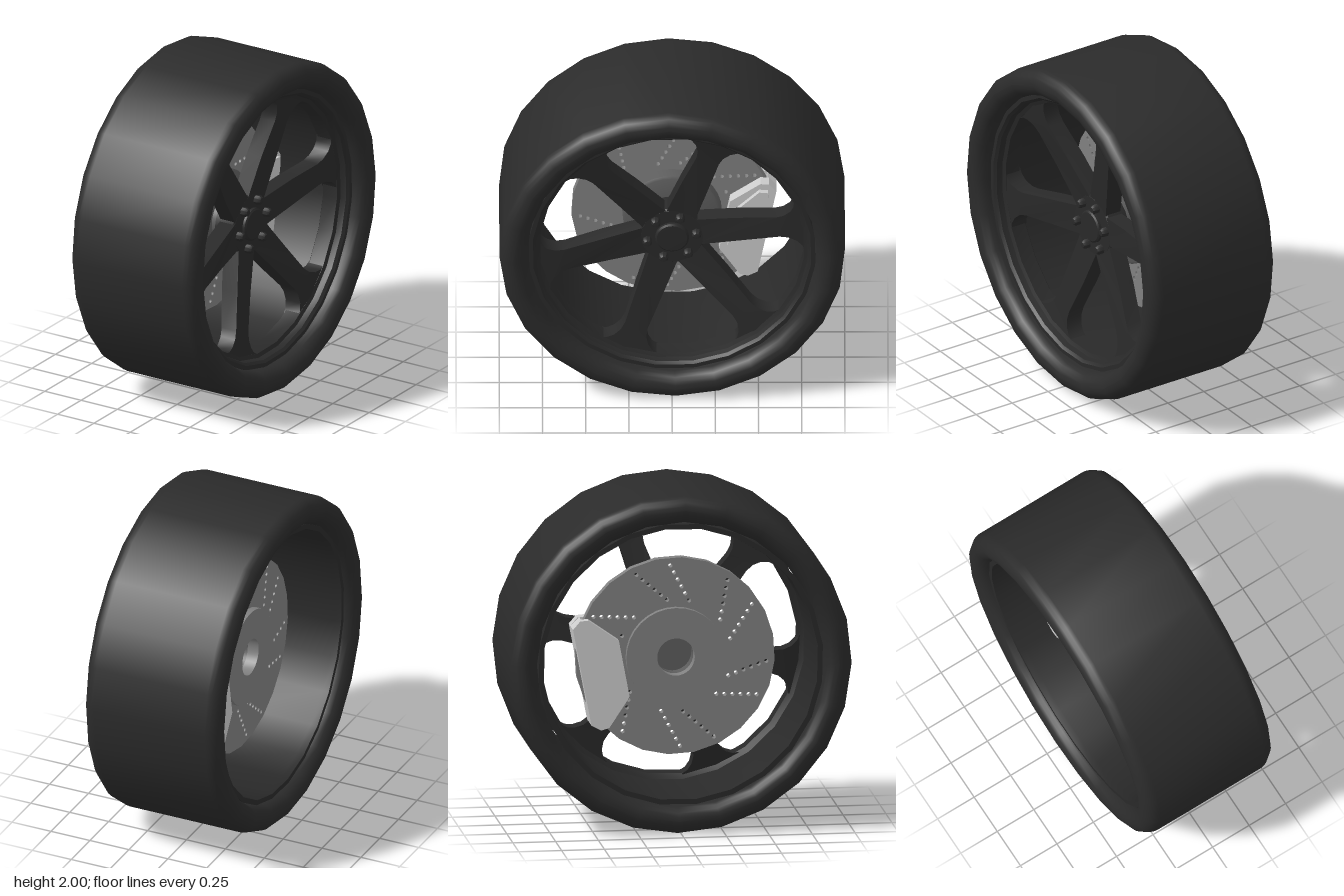
import * as THREE from 'three';
import { toCreasedNormals } from 'three/addons/utils/BufferGeometryUtils.js';

const DEG = Math.PI / 180;
const mat = (color) => new THREE.MeshStandardMaterial({ color });
const rubber = mat(0x2b2b2b);
const alloy = mat(0x292929);
const steel = mat(0x808080);
const darkSteel = mat(0x5c5c5c);
const grey = mat(0xcccccc);

const polar = (r, deg) => new THREE.Vector2(r * Math.cos(deg * DEG), r * Math.sin(deg * DEG));
const vecs = (pts) => pts.map(([x, y]) => new THREE.Vector2(x, y));

// The wheel is built with its axle on z, outer face towards +z, then turned to face +x.
function add(parent, name, geo, material, crease = 0.6) {
  const mesh = new THREE.Mesh(toCreasedNormals(geo, crease), material);
  mesh.name = name;
  parent.add(mesh);
  return mesh;
}

// Ring or disc from [radius, depth] points, listed counter-clockwise
function turned(profile, sides = 24) {
  return new THREE.LatheGeometry(vecs(profile), sides).rotateX(Math.PI / 2);
}

function slab(shape, z0, z1, curveSegments = 12) {
  return new THREE.ExtrudeGeometry(shape, { depth: z1 - z0, bevelEnabled: false, curveSegments }).translate(0, 0, z0);
}

// Tyre: rounded rectangular section
function tyreProfile() {
  const w = 0.435, rIn = 0.84, rOut = 1, c = 0.079, pts = [];
  const corners = [[rOut - c, -w + c, -90], [rOut - c, w - c, 0], [rIn + c, w - c, 90], [rIn + c, -w + c, 180]];
  for (const [r, z, start] of corners) {
    for (let i = 0; i <= 5; i++) {
      const a = (start + i * 18) * DEG;
      pts.push([r + c * Math.cos(a), z + c * Math.sin(a)]);
    }
  }
  pts.push(pts[0]);
  return pts;
}

// Spoke: slightly tapered bar flaring into the rim, leaning outwards with radius
function spokeGeometry() {
  const side = [[0.1, 0.09], [0.4, 0.08], [0.62, 0.069], [0.67, 0.078], [0.715, 0.105], [0.742, 0.14], [0.75, 0.175], [0.785, 0.175]];
  const outline = [...side.map(([r, h]) => [r, -h]), ...side.reverse()];
  const geo = slab(new THREE.Shape(vecs(outline)), 0.08, 0.18);
  const p = geo.attributes.position;
  for (let i = 0; i < p.count; i++) {
    const lean = Math.max(0, p.getX(i) - 0.18) * 0.18;
    p.setZ(i, p.getZ(i) + lean);
  }
  geo.computeVertexNormals();
  return geo;
}

// Brake disc with slanted rows of drilled holes
function discGeometry() {
  const shape = new THREE.Shape();
  for (let i = 0; i < 24; i++) {
    const v = polar(0.583, i * 15 + 4);
    if (i) shape.lineTo(v.x, v.y); else shape.moveTo(v.x, v.y);
  }
  shape.closePath();
  const bore = new THREE.Path();
  bore.absarc(0, 0, 0.27, 0, Math.PI * 2, true);
  shape.holes.push(bore);
  for (let k = 0; k < 6; k++) {
    for (const shift of [0, -22]) {
      const inner = polar(0.335, 104 + shift + k * 60), outer = polar(0.535, 87 + shift + k * 60);
      for (let i = 0; i < 6; i++) {
        const c = inner.clone().lerp(outer, i / 5), hole = new THREE.Path();
        hole.absarc(c.x, c.y, 0.0125, 0, Math.PI * 2, true);
        shape.holes.push(hole);
      }
    }
  }
  return slab(shape, -0.13, -0.075, 8);
}

// Caliper outline at a given inset from its edge
function caliperShape(inset) {
  const half = [[0.31 + inset, 0.17 - inset], [0.46, 0.325 - inset], [0.51, 0.33 - inset], [0.56 - inset, 0.29 - inset]];
  return new THREE.Shape(vecs([...half.map(([r, t]) => [r, -t]), ...half.reverse()]));
}

export function createModel() {
  const model = new THREE.Group();
  const wheel = new THREE.Group();
  wheel.name = 'wheel';
  wheel.rotation.y = Math.PI / 2;
  wheel.position.y = 1;
  model.add(wheel);

  add(wheel, 'tyre', turned(tyreProfile()), rubber, 0.9).rotation.z = 1.2 * DEG;

  // Rim barrel with stepped lips at both ends
  const rim = add(wheel, 'rim', turned([
    [0.815, -0.33], [0.835, -0.35], [0.835, -0.37], [0.805, -0.37], [0.80, -0.33],
    [0.80, 0.17], [0.768, 0.19], [0.768, 0.285], [0.79, 0.295], [0.795, 0.33],
    [0.81, 0.345], [0.835, 0.345], [0.835, 0.32], [0.815, 0.30], [0.815, -0.33],
  ].reverse()), alloy);
  rim.rotation.z = 8.7 * DEG;

  // Spokes and lug nuts
  const star = new THREE.Group();
  star.name = 'spokeStar';
  star.rotation.z = 10.6 * DEG;
  wheel.add(star);
  const spoke = spokeGeometry();
  const nut = turned([[0, 0.18], [0.028, 0.18], [0.028, 0.215], [0.018, 0.23], [0, 0.232]], 8);
  for (let k = 0; k < 6; k++) {
    add(star, 'spoke', spoke, alloy).rotation.z = k * 60 * DEG;
    const c = polar(0.145, k * 60);
    add(star, 'lugNut', nut, alloy).position.set(c.x, c.y, 0);
  }
  add(star, 'hub', turned([[0, 0.06], [0.19, 0.06], [0.19, 0.18], [0.18, 0.19], [0, 0.19]]), alloy);
  add(star, 'centreCap', turned([[0, 0.18], [0.098, 0.18], [0.098, 0.205], [0.088, 0.213], [0, 0.216]]), alloy);

  // Brake assembly
  add(wheel, 'brakeDisc', discGeometry(), steel);
  add(wheel, 'discHat', turned([[0.11, -0.17], [0.29, -0.17], [0.29, -0.1], [0.28, -0.1], [0.11, -0.1], [0.11, -0.17]], 32), steel);
  add(wheel, 'discBell', turned([[0.11, -0.1], [0.29, -0.1], [0.285, -0.01], [0.27, 0], [0.11, 0], [0.11, -0.1]], 32), darkSteel);
  add(wheel, 'axleSleeve', turned([[0, -0.02], [0.13, -0.02], [0.13, 0.08], [0, 0.08]]), darkSteel);

  const caliper = new THREE.Group();
  caliper.name = 'caliper';
  caliper.rotation.z = -10.7 * DEG;
  wheel.add(caliper);
  add(caliper, 'outerHalf', slab(caliperShape(0), -0.07, 0), grey);
  add(caliper, 'outerFace', slab(caliperShape(0.04), 0, 0.03), grey);
  add(caliper, 'innerHalf', slab(caliperShape(0), -0.185, -0.135), grey);
  // Bridge across the edge of the disc
  const bridge = vecs([[0.5, -0.33], [0.56, -0.29], [0.56, 0.29], [0.5, 0.33]]);
  add(caliper, 'bridge', slab(new THREE.Shape(bridge), -0.135, -0.07), grey);

  return model;
}
